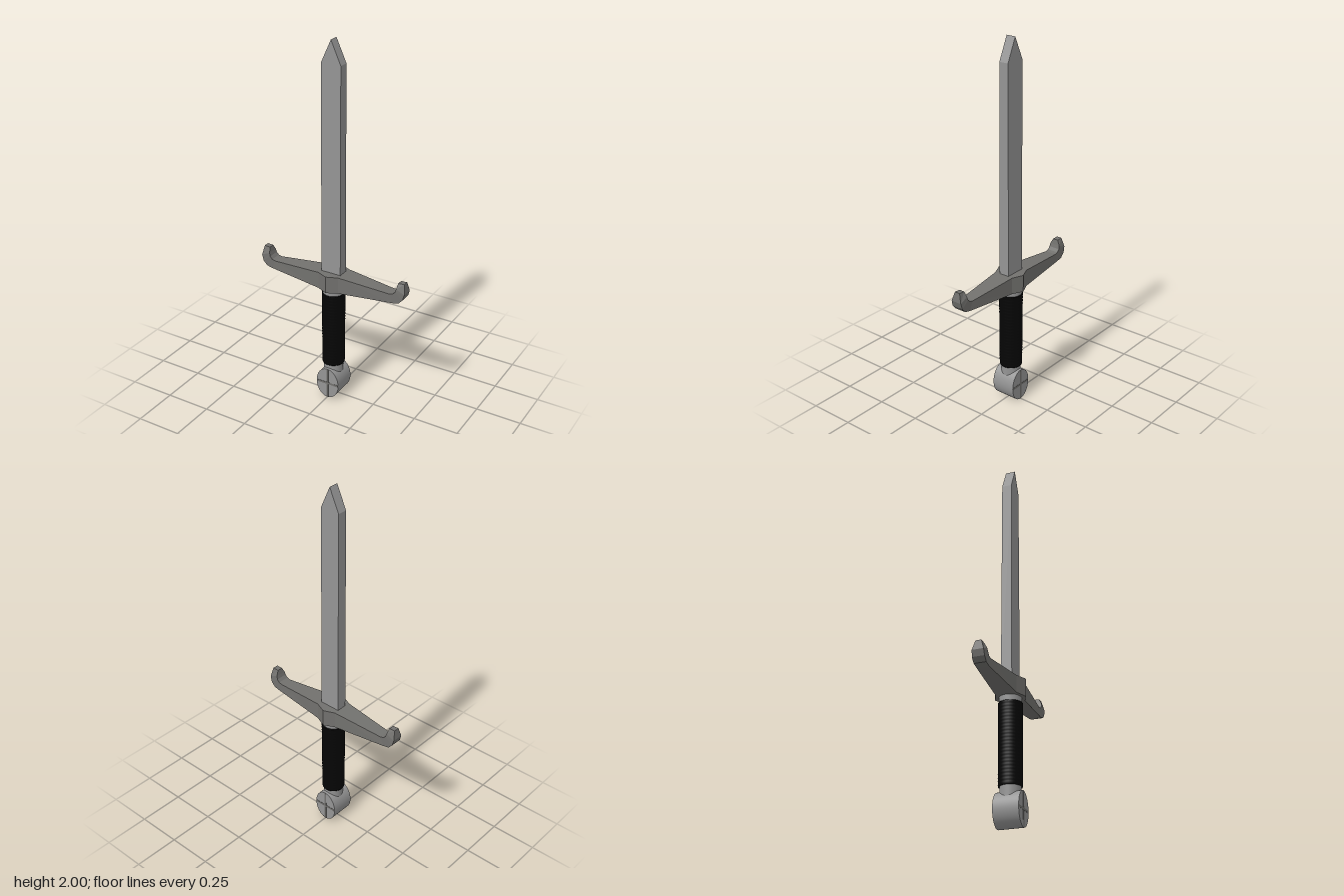
import * as THREE from 'three';

const steel = new THREE.MeshStandardMaterial({ color: 0x959595 });
const flatSteel = new THREE.MeshStandardMaterial({ color: 0x959595, flatShading: true });
const darkSteel = new THREE.MeshStandardMaterial({ color: 0x72716e, flatShading: true });
const leather = new THREE.MeshStandardMaterial({ color: 0x050505 });

function addMesh(parent, name, geometry, material) {
  const mesh = new THREE.Mesh(geometry, material);
  mesh.name = name;
  parent.add(mesh);
  return mesh;
}

// Loft of rectangular sections: [upper x, upper y, lower x, lower y, half depth]
function loftRectangles(sections) {
  const positions = [];
  const index = [];
  for (const [ux, uy, lx, ly, d] of sections) {
    positions.push(ux, uy, d, ux, uy, -d, lx, ly, -d, lx, ly, d);
  }
  for (let s = 0; s < sections.length - 1; s++) {
    for (let k = 0; k < 4; k++) {
      const a = s * 4 + k, b = s * 4 + (k + 1) % 4;
      index.push(a, a + 4, b, b, a + 4, b + 4);
    }
  }
  const e = (sections.length - 1) * 4;
  index.push(0, 1, 2, 0, 2, 3, e, e + 2, e + 1, e, e + 3, e + 2);
  const geometry = new THREE.BufferGeometry();
  geometry.setAttribute('position', new THREE.Float32BufferAttribute(positions, 3));
  geometry.setIndex(index);
  const flat = geometry.toNonIndexed();
  flat.computeVertexNormals();
  return flat;
}

export function createModel() {
  const model = new THREE.Group();
  model.name = 'sword';

  // Blade: flat bar with a pointed end, slightly thinner towards the tip
  const outline = new THREE.Shape([
    [-0.057, 0.7], [0.057, 0.7], [0.055, 1.88], [0, 2], [-0.055, 1.88],
  ].map(([x, y]) => new THREE.Vector2(x, y)));
  const blade = new THREE.ExtrudeGeometry(outline, { depth: 0.058, bevelEnabled: false })
    .translate(0, 0, -0.029);
  const corners = blade.attributes.position;
  for (let i = 0; i < corners.count; i++) {
    const t = (corners.getY(i) - 0.7) / 1.3;
    corners.setZ(i, corners.getZ(i) * (1 - 0.1 * t));
  }
  blade.computeVertexNormals();
  addMesh(model, 'blade', blade, flatSteel);

  // Crossguard: tapering arms that hook upwards, ridged at the centre
  const arm = [
    [0, 0.756, 0, 0.661, 0.082],
    [0.06, 0.755, 0.06, 0.663, 0.056],
    [0.345, 0.733, 0.365, 0.685, 0.032],
    [0.365, 0.738, 0.4, 0.693, 0.032],
    [0.378, 0.752, 0.422, 0.717, 0.032],
    [0.383, 0.77, 0.431, 0.75, 0.03],
    [0.388, 0.798, 0.422, 0.8, 0.015],
  ];
  const mirrored = arm.slice(1).reverse().map(([ux, uy, lx, ly, d]) => [-ux, uy, -lx, ly, d]);
  addMesh(model, 'crossguard', loftRectangles([...mirrored, ...arm]), darkSteel);

  // Handle core showing above and below the wrap
  addMesh(model, 'handleCore', new THREE.CylinderGeometry(0.058, 0.052, 0.54, 32)
    .translate(0, 0.4, 0), steel);

  // Finely ribbed leather wrap
  const turns = 24, bottom = 0.203, top = 0.632;
  const profile = [new THREE.Vector2(0.05, bottom)];
  for (let i = 0; i <= turns * 4; i++) {
    const t = i / (turns * 4);
    const ridge = 0.001 * Math.abs(Math.sin(t * turns * Math.PI));
    profile.push(new THREE.Vector2(0.06 + 0.002 * t + ridge, bottom + t * (top - bottom)));
  }
  profile.push(new THREE.Vector2(0.05, top));
  addMesh(model, 'gripWrap', new THREE.LatheGeometry(profile, 32), leather);

  // Pommel: oval drum lying front to back
  const pommel = new THREE.Group();
  pommel.name = 'pommel';
  pommel.position.y = 0.09;
  model.add(pommel);
  const rx = 0.068, ry = 0.09, half = 0.067;
  const drum = new THREE.CylinderGeometry(1, 1, 2 * half, 48)
    .rotateX(Math.PI / 2).scale(rx, ry, 1);
  addMesh(pommel, 'pommelDrum', drum, steel);

  // Dark cross inlaid in both ends of the drum
  const bar = 0.012, through = 2 * half + 0.002;
  addMesh(pommel, 'crossUpright', new THREE.BoxGeometry(bar, 2 * ry - 0.004, through), darkSteel);
  for (const side of [1, -1]) {
    const length = rx - 0.002 - bar / 2;
    const arms = new THREE.BoxGeometry(length, bar, through);
    addMesh(pommel, 'crossArm', arms, darkSteel).position.x = side * (bar + length) / 2;
  }
  return model;
}
